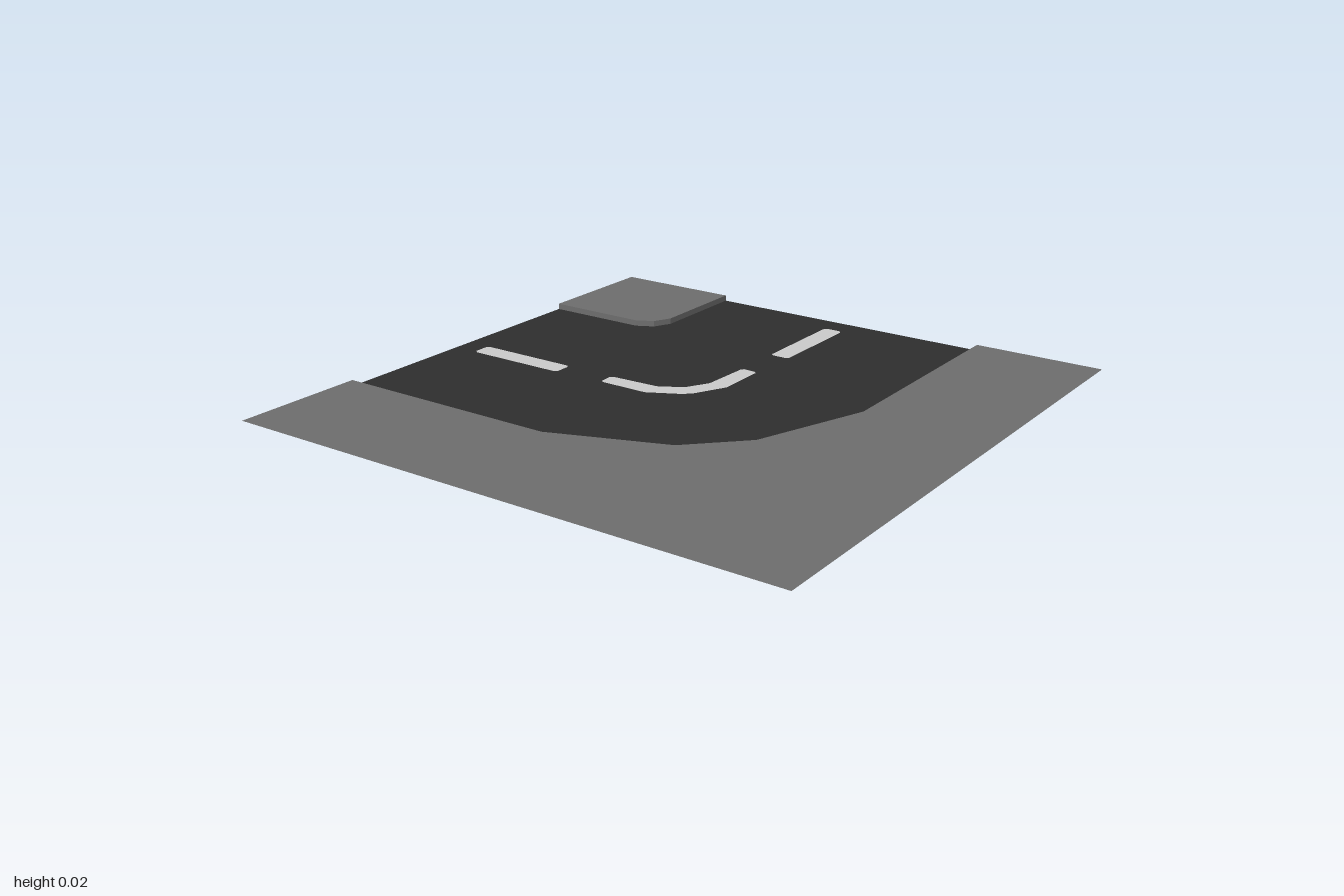
import * as THREE from 'three';

const CURB = 0.021; // height of the pavement above the road

const mat = (name, color) =>
  new THREE.MeshStandardMaterial({ name, color, side: THREE.DoubleSide });

// The tile is symmetric about its diagonal: (x, z) -> (-z, -x)
const mirror = (pts) => pts.map(([x, z]) => [-z, -x]).reverse();
const withMirror = (half) => [...half, ...mirror(half)];
const toVec = (pts) => pts.map(([x, z]) => new THREE.Vector2(x, -z));

// Flat horizontal sheet from an [x, z] outline
function sheet(name, outline, y, material, holes = []) {
  const shape = new THREE.Shape(toVec(outline));
  shape.holes = holes.map((h) => new THREE.Path(toVec(h)));
  const geo = new THREE.ShapeGeometry(shape).rotateX(-Math.PI / 2).translate(0, y, 0);
  const mesh = new THREE.Mesh(geo, material);
  mesh.name = name;
  return mesh;
}

// Vertical wall following an [x, z] line, facing to the left of its direction
function wall(name, line, material) {
  const pos = [];
  for (let i = 0; i < line.length - 1; i++) {
    const [ax, az] = line[i], [bx, bz] = line[i + 1];
    pos.push(ax, 0, az, bx, CURB, bz, bx, 0, bz);
    pos.push(ax, 0, az, ax, CURB, az, bx, CURB, bz);
  }
  const geo = new THREE.BufferGeometry();
  geo.setAttribute('position', new THREE.Float32BufferAttribute(pos, 3));
  geo.computeVertexNormals();
  const mesh = new THREE.Mesh(geo, material);
  mesh.name = name;
  return mesh;
}

export function createModel() {
  const group = new THREE.Group();
  group.name = 'roadCorner';
  const pavement = mat('pavementGrey', 0x6e6e6e);
  const asphalt = mat('asphalt', 0x2e2e2e);
  const paint = mat('roadPaint', 0xcccccc);

  // Kerb lines, running from the back edge to the +x edge
  const outer = withMirror([[-0.537, -1], [-0.537, -0.18], [-0.393, 0.217]]);
  const inner = [[0.537, -1], [0.537, -0.63], [0.568, -0.568], [0.63, -0.537], [1, -0.537]];

  // Lane markings: two straight dashes and a bent one
  const c = 0.01, w = 0.036;
  const dash = [
    [-w, -0.91 + c], [-w, -0.538 - c], [-w + c, -0.538], [w - c, -0.538],
    [w, -0.538 - c], [w, -0.91 + c], [w - c, -0.914], [-w + c, -0.914],
  ];
  const bendOuter = withMirror([[-0.018, -0.353], [-0.027, -0.343], [-0.027, -0.168], [0.03, -0.057]]);
  const bendInner = withMirror([[0.027, -0.355], [0.035, -0.345], [0.043, -0.17], [0.083, -0.098]]);
  const marks = {
    backDash: dash,
    sideDash: mirror(dash),
    bentDash: [...bendOuter, ...bendInner.reverse()],
  };

  // Road surface with the markings set flush into it
  group.add(sheet('road', [...outer, ...[...inner].reverse()], 0, asphalt, Object.values(marks)));
  for (const [name, outline] of Object.entries(marks)) group.add(sheet(name, outline, 0, paint));

  // Raised pavements
  group.add(sheet('outerPavement', [...outer, [1, 1], [-1, 1], [-1, -1]], CURB, pavement));
  group.add(sheet('innerPavement', [...inner, [1, -1]], CURB, pavement));

  // Kerb faces towards the road
  group.add(wall('outerKerb', outer, pavement));
  group.add(wall('innerKerb', [...inner].reverse(), pavement));
  return group;
}
